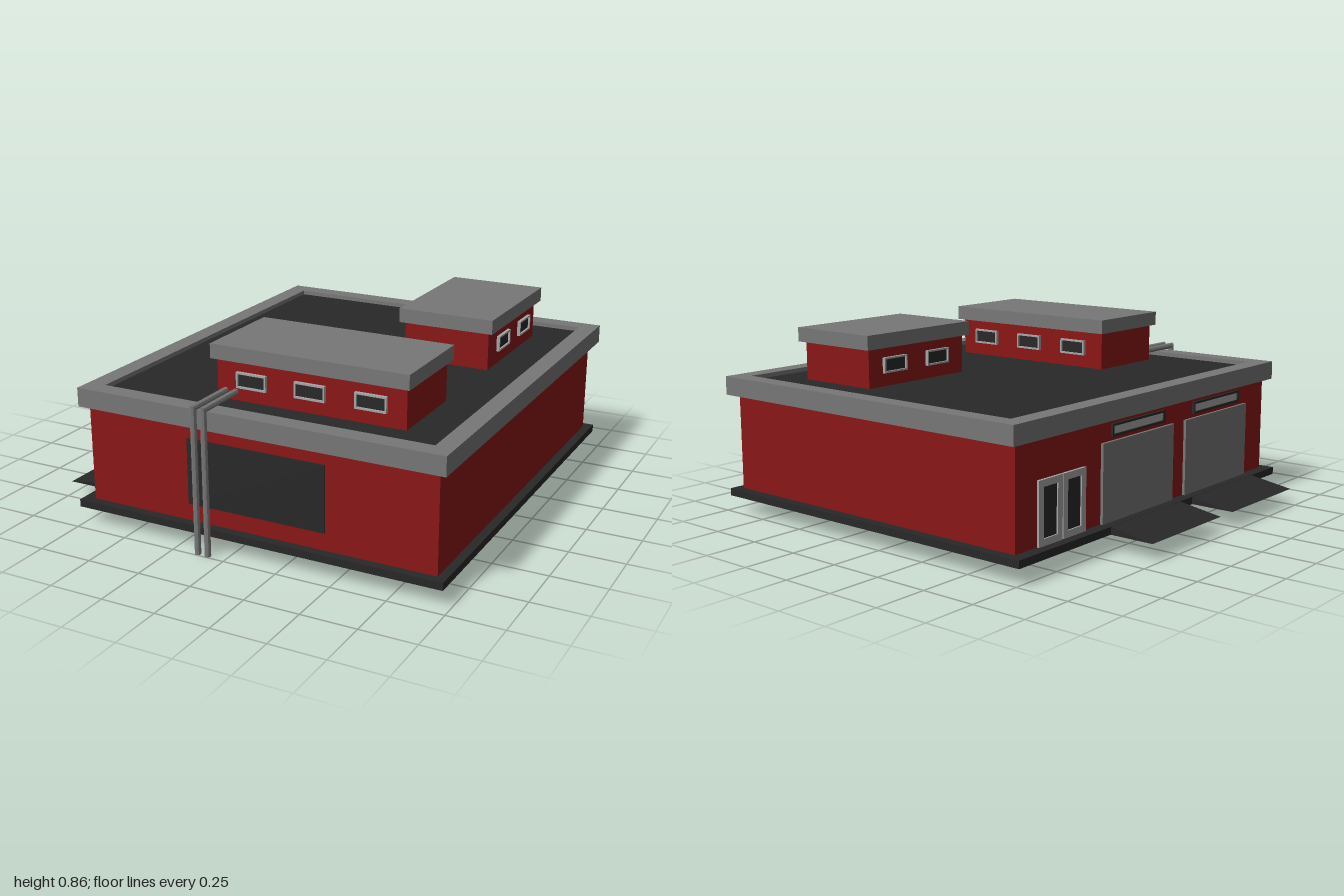
import * as THREE from 'three';

const mat = (color) => new THREE.MeshStandardMaterial({ color, flatShading: true });
const red = mat(0x8a1616), grey = mat(0x777777), pale = mat(0xa6a6a6), dark = mat(0x282828);

function add(parent, name, geometry, material) {
  const mesh = new THREE.Mesh(geometry, material);
  mesh.name = name;
  parent.add(mesh);
  return mesh;
}

// Box given by its two limits on each axis
function box(parent, name, material, [x0, x1], [y0, y1], [z0, z1]) {
  const mesh = add(parent, name, new THREE.BoxGeometry(x1 - x0, y1 - y0, z1 - z0), material);
  mesh.position.set((x0 + x1) / 2, (y0 + y1) / 2, (z0 + z1) / 2);
  return mesh;
}

// Rectangular frame in the XY plane; rectangles are [x0, x1, y0, y1]
function frame(outer, inner, depth) {
  const corners = ([x0, x1, y0, y1]) =>
    [[x0, y0], [x1, y0], [x1, y1], [x0, y1]].map(([x, y]) => new THREE.Vector2(x, y));
  const shape = new THREE.Shape(corners(outer));
  shape.holes.push(new THREE.Path(corners(inner)));
  return new THREE.ExtrudeGeometry(shape, { depth, bevelEnabled: false });
}

// Horizontal frame; rectangles are [x0, x1, z0, z1]
function rim(parent, name, material, outer, inner, y0, y1) {
  const flip = ([x0, x1, z0, z1]) => [x0, x1, -z1, -z0];
  const g = frame(flip(outer), flip(inner), y1 - y0).rotateX(-Math.PI / 2).translate(0, y0, 0);
  return add(parent, name, g, material);
}

// Framed pane on a wall; local +z points out of the wall
function pane(parent, name, pos, turn, w, h, border, frameMat, paneMat, depth = 0.015) {
  const g = new THREE.Group();
  g.name = name;
  const a = w / 2, b = h / 2;
  add(g, name + 'Frame', frame([-a, a, -b, b], [-a + border, a - border, -b + border, b - border], depth), frameMat);
  box(g, name + 'Pane', paneMat, [-a + border, a - border], [-b + border, b - border], [0, depth * 0.4]);
  g.position.set(...pos);
  g.rotation.y = turn;
  parent.add(g);
}

// Roof hut: walls and an overhanging slab
function hut(parent, name, wx, wz, cx, cz) {
  const g = new THREE.Group();
  g.name = name;
  box(g, 'hutWalls', red, wx, [0.6, 0.79], wz);
  box(g, 'hutRoof', grey, cx, [0.79, 0.855], cz);
  parent.add(g);
  return g;
}

// Bent pipe with a mitred elbow, from the ground up and back to the hut
function pipe(parent, x) {
  const r = 0.014, yc = 0.653, zc = 0.985, zEnd = 0.72;
  const g = new THREE.Group();
  g.name = 'pipe';
  const riser = new THREE.CylinderGeometry(r, r, yc, 8).translate(0, yc / 2, 0);
  const run = new THREE.CylinderGeometry(r, r, zc - zEnd, 8)
    .rotateX(Math.PI / 2).translate(0, 0, (zEnd - zc) / 2);
  const p = riser.attributes.position, q = run.attributes.position;
  for (let i = 0; i < p.count; i++) if (p.getY(i) > yc / 2) p.setY(i, yc + p.getZ(i));
  for (let i = 0; i < q.count; i++) if (q.getZ(i) > -0.01) q.setZ(i, q.getY(i));
  add(g, 'pipeRiser', riser, grey).position.set(x, 0, zc);
  add(g, 'pipeRun', run, grey).position.set(x, yc, zc);
  parent.add(g);
}

export function createModel() {
  const model = new THREE.Group();
  model.name = 'garageBuilding';

  // Main block, plinth, parapet and flat roof
  const wall = [-0.71, 0.93, -0.957, 0.914];
  box(model, 'walls', red, [-0.71, 0.93], [0.076, 0.56], [-0.957, 0.914]);
  rim(model, 'plinth', dark, [-0.765, 0.97, -1, 0.955], wall, 0.076, 0.11);
  rim(model, 'parapet', grey, [-0.74, 0.97, -1, 0.955], [-0.655, 0.887, -0.917, 0.87], 0.55, 0.635);
  box(model, 'flatRoof', dark, [-0.66, 0.89], [0.56, 0.615], [-0.92, 0.875]);

  // Large dark panel on the front wall
  box(model, 'frontPanel', dark, [-0.215, 0.435], [0.187, 0.485], [0.9, 0.918]);

  // Roof huts with windows on two opposite sides
  const frontHut = hut(model, 'frontHut', [-0.17, 0.705], [0.33, 0.73], [-0.193, 0.722], [0.3, 0.75]);
  for (const x of [-0.002, 0.273, 0.55]) {
    pane(frontHut, 'window', [x, 0.71, 0.73], 0, 0.142, 0.07, 0.008, pale, dark);
    pane(frontHut, 'window', [x, 0.71, 0.33], Math.PI, 0.142, 0.07, 0.008, pale, dark);
  }
  const rearHut = hut(model, 'rearHut', [0.305, 0.71], [-0.74, -0.135], [0.283, 0.735], [-0.765, -0.11]);
  for (const z of [-0.312, -0.585]) {
    pane(rearHut, 'window', [0.71, 0.71, z], Math.PI / 2, 0.142, 0.07, 0.008, pale, dark);
    pane(rearHut, 'window', [0.305, 0.71, z], -Math.PI / 2, 0.142, 0.07, 0.008, pale, dark);
  }

  // Garage doors, the lights above them and their ramps
  for (const z of [-0.142, 0.483]) {
    box(model, 'garageDoor', grey, [-0.723, -0.7], [0.11, 0.457], [z - 0.263, z + 0.263]);
    pane(model, 'doorLight', [-0.71, 0.502, z], -Math.PI / 2, 0.39, 0.055, 0.01, dark, pale, 0.012);
    const wedge = new THREE.Shape([[-0.975, 0.076], [-0.76, 0.076], [-0.76, 0.11]]
      .map(([x, y]) => new THREE.Vector2(x, y)));
    const ramp = new THREE.ExtrudeGeometry(wedge, { depth: 0.526, bevelEnabled: false });
    add(model, 'ramp', ramp, dark).position.z = z - 0.263;
  }

  // Glazed double door
  for (const z of [-0.75, -0.595])
    pane(model, 'entranceDoor', [-0.71, 0.246, z], -Math.PI / 2, 0.15, 0.272, 0.03, pale, dark, 0.012);

  // Pipes down the front
  for (const x of [-0.132, -0.083]) pipe(model, x);

  return model;
}
